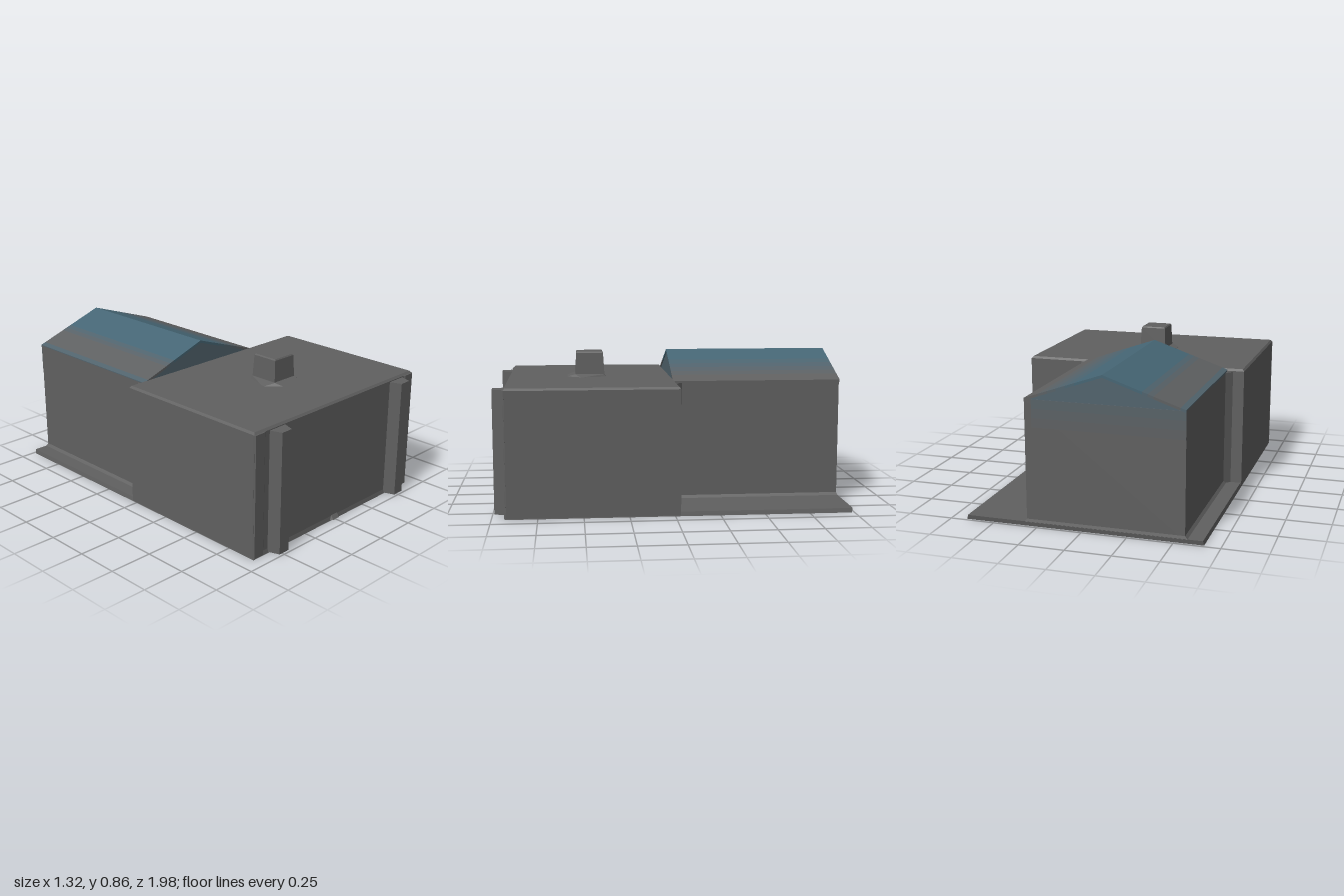
import * as THREE from 'three';
import { ConvexGeometry } from 'three/addons/geometries/ConvexGeometry.js';

export function createModel() {
  const model = new THREE.Group();
  model.name = 'building';
  // Weathered paint: 0 is plain dark grey, 1 is full blue
  const paint = (amount) => new THREE.MeshStandardMaterial({
    color: new THREE.Color(0x606060).lerp(new THREE.Color(0x466675), amount), flatShading: true,
  });
  const grey = paint(0);

  const add = (name, geometry, material = grey) => {
    const mesh = new THREE.Mesh(geometry, material);
    mesh.name = name;
    model.add(mesh);
    return mesh;
  };
  // Convex solid between two rings of [x, z] points at two heights
  const loft = (name, low, y0, high, y1) =>
    add(name, new ConvexGeometry([
      ...low.map(([x, z]) => new THREE.Vector3(x, y0, z)),
      ...high.map(([x, z]) => new THREE.Vector3(x, y1, z)),
    ]));
  const rect = (x0, x1, z0, z1) => [[x0, z0], [x1, z0], [x1, z1], [x0, z1]];
  // Outline in x, y extruded along z
  const prism = (name, points, z0, z1, material) => {
    const shape = new THREE.Shape(points.map(([x, y]) => new THREE.Vector2(x, y)));
    add(name, new THREE.ExtrudeGeometry(shape, { depth: z1 - z0, bevelEnabled: false }), material)
      .position.z = z0;
  };

  // Ground slab
  loft('baseSlab', rect(-0.66, 0.66, -0.985, 0.93), 0.005, rect(-0.655, 0.655, -0.99, 0.925), 0.03);

  // Front hall with a slightly softened roof edge
  const hall = rect(-0.66, 0.66, -0.03, 0.925);
  loft('frontHall', hall, 0.01, hall, 0.705);
  loft('frontHallRoof', hall, 0.705, rect(-0.65, 0.65, -0.02, 0.915), 0.717);

  // Rear wing: walls and gables
  const left = -0.56, right = 0.31, ridge = -0.12, eave = 0.705;
  const wing = rect(left, right, -0.985, -0.03);
  loft('rearWing', wing, 0.02, wing, eave);
  prism('rearGable', [[left, eave], [right, eave], [ridge, 0.85]], -0.985, -0.025, paint(0.6));
  // Paint fading down the back wall
  [0.1, 0.2, 0.35].forEach((amount, i) => {
    const y = 0.555 + i * 0.05;
    prism('backWallPaint', [[left, y], [right - 0.04, y], [right - 0.04, y + 0.05], [left, y + 0.05]],
      -0.988, -0.98, paint(amount));
  });
  loft('rearFooting', rect(left - 0.015, right + 0.015, -0.99, -0.03), 0.028, wing, 0.045);

  // Pitched roof in lengthwise strips, bluest at the ridge
  const roofY = (x) => 0.86 - 0.15 * (x < ridge ? (ridge - x) / (ridge - left) : (x - ridge) / (right - ridge));
  const edges = [left, -0.53, -0.39, -0.36, -0.33, ridge, 0.03, 0.08, 0.13, 0.18, 0.23, right];
  const amounts = [0.6, 0.08, 0.35, 0.65, 1, 1, 0.8, 0.6, 0.4, 0.2, 0];
  amounts.forEach((amount, i) => {
    const a = edges[i], b = edges[i + 1];
    prism('rearRoof', [[a, roofY(a) - 0.014], [b, roofY(b) - 0.014], [b, roofY(b)], [a, roofY(a)]],
      -0.99, -0.02, paint(amount));
  });

  // Fillets where the wing meets the hall
  for (const [x, s] of [[left, -1], [right, 1]]) {
    const ring = [[x, -0.07], [x + s * 0.035, -0.03], [x, -0.03]];
    loft('wingFillet', ring, 0.02, ring, 0.7);
  }

  // Front pilasters and raised corner strips
  for (const [s, centre] of [[-1, 0.49], [1, 0.51]]) {
    const ring = [[-0.06, 0.92], [-0.04, 0.945], [-0.035, 0.99], [0.035, 0.99], [0.04, 0.945], [0.06, 0.92]]
      .map(([x, z]) => [s * (centre + x), z]);
    loft('pilaster', ring, 0.01, ring, 0.7);
    const strip = [[0.575, 0.92], [0.59, 0.932], [0.655, 0.932], [0.662, 0.92]].map(([x, z]) => [s * x, z]);
    loft('cornerStrip', strip, 0.01, strip, 0.705);
  }

  // Small door stop at the middle of the front
  loft('doorStop', [[-0.05, 0.92], [-0.025, 0.942], [0.025, 0.942], [0.05, 0.92]], 0.01,
    [[-0.025, 0.92], [0.025, 0.92]], 0.04);

  // Chimney with a flared foot
  loft('chimneyFoot', [[-0.09, 0.355], [0.09, 0.355], [0.125, 0.5], [0.06, 0.585], [-0.06, 0.585], [-0.14, 0.5]], 0.715,
    rect(-0.085, 0.085, 0.362, 0.535), 0.732);
  loft('chimney', rect(-0.082, 0.082, 0.362, 0.532), 0.715, rect(-0.075, 0.075, 0.37, 0.527), 0.856);
  loft('chimneyCap', rect(-0.075, 0.075, 0.37, 0.527), 0.856, rect(-0.07, 0.07, 0.375, 0.522), 0.863);

  return model;
}
